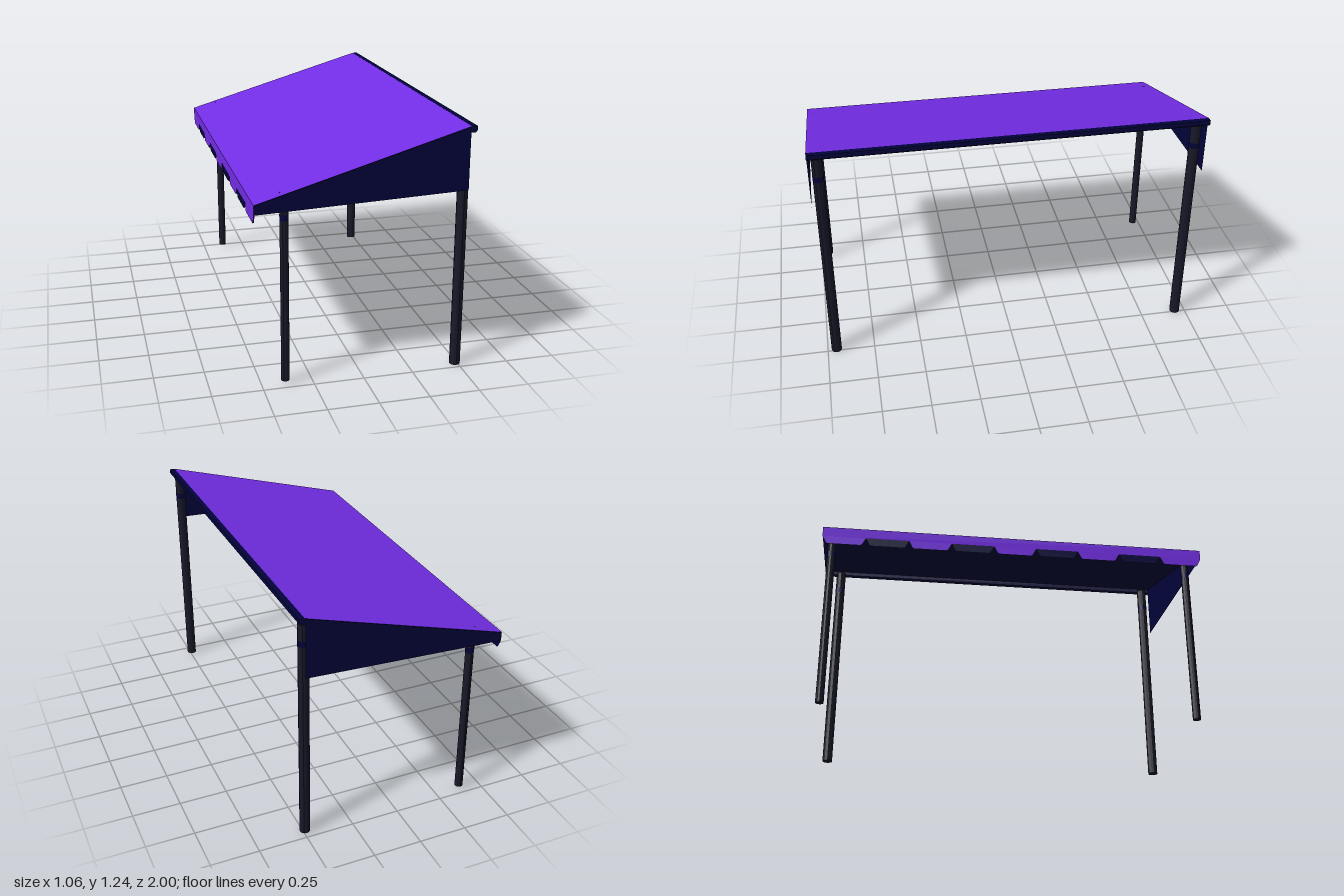
import * as THREE from 'three';

export function createModel() {
  const group = new THREE.Group();
  const material = (name, color, side = THREE.FrontSide) => {
    const m = new THREE.MeshStandardMaterial({ color, side });
    m.name = name;
    return m;
  };
  const purple = material('purple canvas', 0x732de6);
  const navy = material('navy canvas', 0x02023a, THREE.DoubleSide);
  const steel = material('dark steel', 0x181829);
  steel.flatShading = true;

  const add = (name, geometry, mat, x = 0, y = 0, z = 0) => {
    const mesh = new THREE.Mesh(geometry, mat);
    mesh.name = name;
    mesh.position.set(x, y, z);
    group.add(mesh);
    return mesh;
  };
  const shape = (points) => new THREE.Shape(points.map(([x, y]) => new THREE.Vector2(x, y)));

  // Sloping roof: purple sheet above, navy lining below
  const low = [-0.533, 0.932], high = [0.503, 1.236];
  const dx = high[0] - low[0], dy = high[1] - low[1];
  const sheet = (flip) => new THREE.PlaneGeometry(Math.hypot(dx, dy), 2)
    .rotateX(flip * Math.PI / 2).rotateZ(Math.atan2(dy, dx));
  const mx = (low[0] + high[0]) / 2, my = (low[1] + high[1]) / 2;
  add('roofCanvas', sheet(-1), purple, mx, my);
  add('roofLining', sheet(1), navy, mx, my - 0.004);

  // Triangular end panels
  const panel = new THREE.ShapeGeometry(shape([[-0.532, 0.884], [0.5, 0.925], [0.5, 1.234], [-0.532, 0.931]]));
  for (const s of [1, -1]) add(s > 0 ? 'frontPanel' : 'backPanel', panel, navy, 0, 0, s * 0.999);

  // Valance along the low edge: purple band with alternating purple and navy flaps, lined in navy
  const outside = -0.533, inside = -0.529, split = 0.88, bottom = 0.838;
  const valancePart = (name, points, mat) => {
    const flat = new THREE.ShapeGeometry(shape(points));
    add(name, flat.clone().rotateY(-Math.PI / 2), mat, outside);
    add(name + 'Lining', flat.clone().rotateY(Math.PI / 2), navy, inside);
  };
  valancePart('valanceBand', [[-1, split], [1, split], [1, 0.932], [-1, 0.932]], purple);
  const flaps = 9, w = 2 / flaps;
  for (let i = 0; i < flaps; i++) {
    const a = -1 + i * w, b = a + w;
    valancePart('valanceFlap', [
      [a, split], [a + 0.018, bottom + 0.006], [a + 0.027, bottom],
      [b - 0.027, bottom], [b - 0.018, bottom + 0.006], [b, split],
    ], i % 2 ? navy : purple);
  }

  // Rail along the high edge
  const rail = new THREE.ExtrudeGeometry(
    shape([[0.495, 1.205], [0.522, 1.205], [0.53, 1.213], [0.53, 1.236], [0.502, 1.236]]),
    { depth: 2, bevelEnabled: false });
  add('rail', rail, navy, 0, 0, -1);

  // Posts with a navy band near the top
  const post = (name, x, z, r, foot, top, bandY) => {
    const h = top - foot;
    add(name, new THREE.CylinderGeometry(r, r, h, 12), steel, x, foot + h / 2, z);
    add(name + 'Band', new THREE.CylinderGeometry(r + 0.0007, r + 0.0007, 0.03, 12, 1, true), navy, x, bandY, z);
  };
  post('tallPostFront', 0.488, 0.953, 0.027, 0, 1.206, 1.085);
  post('tallPostBack', 0.488, -0.944, 0.027, 0, 1.206, 1.085);
  post('shortPostFront', -0.384, 0.956, 0.021, 0.02, 0.971, 0.851);
  post('shortPostBack', -0.384, -0.957, 0.021, 0.02, 0.971, 0.851);

  return group;
}
